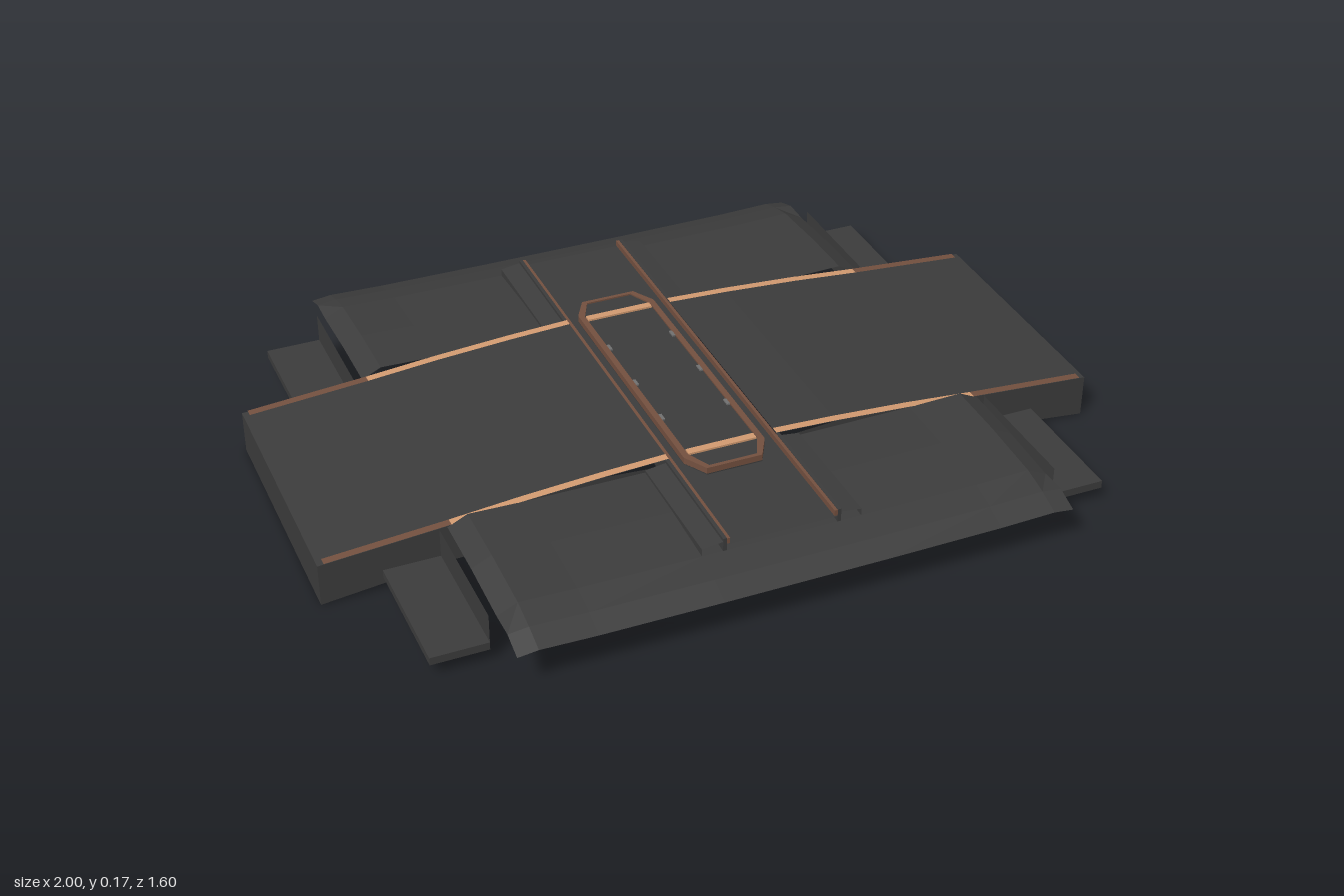
import * as THREE from 'three';

const mat = (name, color, side = THREE.DoubleSide) => {
  const m = new THREE.MeshStandardMaterial({ color, side });
  m.name = name;
  return m;
};

// Piecewise linear profile lookup
function lerpProfile(points, t) {
  for (let i = 1; i < points.length; i++) {
    const [a, ya] = points[i - 1], [b, yb] = points[i];
    if (t <= b) return ya + (yb - ya) * Math.max(0, (t - a) / (b - a));
  }
  return points[points.length - 1][1];
}

const DECK = [[0, 0.17], [0.14, 0.17], [0.3, 0.163], [0.5, 0.15], [0.68, 0.134], [1, 0.11]];
const HEM = [[0, 0.035], [0.68, 0.035], [1, 0]];
const deckY = (x) => lerpProfile(DECK, Math.abs(x));
const hemY = (x) => lerpProfile(HEM, Math.abs(x));

// Flat-faced sheet through rows of points
function sheet(rows) {
  const n = rows[0].length, pos = rows.flat(2), idx = [];
  for (let r = 0; r < rows.length - 1; r++) {
    for (let c = 0; c < n - 1; c++) {
      const a = r * n + c, b = a + 1, d = a + n, e = d + 1;
      idx.push(a, d, b, b, d, e);
    }
  }
  const g = new THREE.BufferGeometry();
  g.setAttribute('position', new THREE.Float32BufferAttribute(pos, 3));
  g.setIndex(idx);
  const flat = g.toNonIndexed();
  flat.computeVertexNormals();
  return flat;
}

// Long octagon outline in x and z
const octagon = (w, l) => [
  [-w, l - 0.06], [-w * 0.68, l], [w * 0.68, l], [w, l - 0.06],
  [w, -l + 0.06], [w * 0.68, -l], [-w * 0.68, -l], [-w, -l + 0.06],
];
const toShape = (pts) => new THREE.Shape(pts.map(([x, z]) => new THREE.Vector2(x, -z)));

export function createModel() {
  const model = new THREE.Group();
  const dark = mat('dark grey', 0x3c3c3c);
  const brown = mat('brown copper', 0x73503f);
  const copper = mat('bright copper', 0xd29a70);
  const grey = mat('stud grey', 0x707070);

  const add = (name, geometry, material, parent = model) => {
    const m = new THREE.Mesh(geometry, material);
    m.name = name;
    parent.add(m);
    return m;
  };
  const box = (name, x0, x1, y0, y1, z0, z1, material) => {
    const m = add(name, new THREE.BoxGeometry(Math.abs(x1 - x0), y1 - y0, Math.abs(z1 - z0)), material);
    m.position.set((x0 + x1) / 2, (y0 + y1) / 2, (z0 + z1) / 2);
  };

  const deckXs = [0.14, 0.3, 0.5, 0.68, 1];
  const wallXs = [-1, -0.68, -0.5, -0.3, -0.14, 0.14, 0.3, 0.5, 0.68, 1];

  for (const s of [-1, 1]) {
    // Arched main deck and its end wall
    add('mainDeck', sheet([-0.335, 0.335].map((z) => deckXs.map((x) => [s * x, deckY(x), s * z]))), dark);
    add('endWall', sheet([0.11, 0].map((y) => [[s, y, s * 0.335], [s, y, -s * 0.335]])), dark);

    // Long side wall, lowered where the channel passes
    const top = (x) => (Math.abs(x) < 0.15 ? 0.152 : deckY(x));
    add('sideWall', sheet([
      wallXs.map((x) => [s * x, top(x), s * 0.335]),
      wallXs.map((x) => [s * x, hemY(x), s * 0.335]),
    ]), dark);

    // Channel beside the centre panel, with a thin brown liner
    add('channelFloor', sheet([-0.67, 0.67].map((z) => [[s * 0.1, 0.152, s * z], [s * 0.14, 0.152, s * z]])), dark);
    box('channelLiner', s * 0.131, s * 0.139, 0.154, 0.169, -0.67, 0.67, brown);
    for (const t of [-1, 1]) {
      box('channelRail', s * 0.139, s * 0.148, 0.135, 0.17, t * 0.335, t * 0.67, dark);
      add('railShoulder', sheet([0.336, 0.67].map((z) => [
        [s * 0.148, 0.162, t * z], [s * 0.2, 0.155, t * z], [s * 0.2, 0.13, t * z],
      ])), dark);

      // Inlaid strips along the deck edge
      const inlay = (name, xs, material) => add(name, sheet([0.315, 0.336].map((z) =>
        xs.map((x) => [s * x, deckY(x) + 0.002, t * z]))), material);
      inlay('brightInlay', [0.14, 0.3, 0.5, 0.68], copper);
      inlay('outerInlay', [0.68, 0.985], brown);

      // Low side ledge, open below, with its upright wall
      const x0 = s * 0.71, x1 = s * 0.85, z0 = t * 0.336, z1 = t * 0.675;
      add('ledgeTop', sheet([[[x0, 0.055, z0], [x1, 0.055, z0]], [[x0, 0.055, z1], [x1, 0.055, z1]]]), dark);
      add('ledgeRim', sheet([0.055, 0.035].map((y) => [
        [x1, y, z0], [x1, y, z1], [x0, y, z1], [x0, y, z0],
      ])), dark);
      add('ledgeWall', sheet([0.13, 0.055].map((y) => [[x0, y, z0], [x0, y, z1]])), dark);
    }
  }

  for (const t of [-1, 1]) {
    // Thin wing with drooping outer lip
    const wingXs = [-0.69, -0.64, -0.5, -0.2, 0.2, 0.5, 0.64, 0.69];
    const wingRows = [[0.335, 0.148], [0.5, 0.146], [0.67, 0.136], [0.74, 0.12], [0.8, 0.1]];
    const edge = [[0, 0], [0.2, 0], [0.5, 0.002], [0.64, 0.006], [0.69, -0.018]];
    add('wing', sheet(wingRows.map(([z, y]) => wingXs.map((x) => {
      const dy = lerpProfile(edge, Math.abs(x));
      return [x, y + (z > 0.7 ? Math.max(dy, 0) : dy), t * z];
    }))), dark);

    // Tapered keel block under the wing
    const keel = (w0, w1, z, y0, y1) => [
      [-w1, y1, t * z], [-w0, y0, t * z], [w0, y0, t * z], [w1, y1, t * z],
    ];
    add('keelBlock', sheet([
      keel(0.27, 0.22, 0.335, 0.035, 0.13),
      keel(0.27, 0.22, 0.42, 0.035, 0.13),
      keel(0.22, 0.22, 0.6, 0.125, 0.13),
    ]), dark);

    // Centre part of the wing channel and the inlay across the centre panel
    add('channelBed', sheet([0.336, 0.67].map((z) => [[-0.1, 0.152, t * z], [0.1, 0.152, t * z]])), dark);
    box('centreInlay', -0.088, 0.088, 0.167, 0.172, t * 0.315, t * 0.335, copper);
  }

  // Long octagonal centre hatch: skirt, lid and brown rim
  const outline = octagon(0.105, 0.405);
  const loop = [...outline, outline[0]];
  add('hatchSkirt', sheet([0.155, 0.035].map((y) => loop.map(([x, z]) => [x, y, z]))), dark);
  const lid = new THREE.ShapeGeometry(toShape(octagon(0.1, 0.4)));
  lid.rotateX(-Math.PI / 2);
  add('hatchLid', lid, dark).position.y = 0.167;
  const rimShape = toShape(outline);
  rimShape.holes.push(toShape(octagon(0.09, 0.395)));
  const rim = new THREE.ExtrudeGeometry(rimShape, { depth: 0.017, bevelEnabled: false });
  rim.rotateX(-Math.PI / 2);
  add('hatchRim', rim, brown).position.y = 0.154;

  // Small studs along the hatch
  for (const s of [-1, 1]) {
    for (const z of [-0.175, 0, 0.165]) {
      box('stud', s * 0.082, s * 0.09, 0.167, 0.171, z - 0.012, z + 0.012, grey);
    }
  }
  return model;
}
